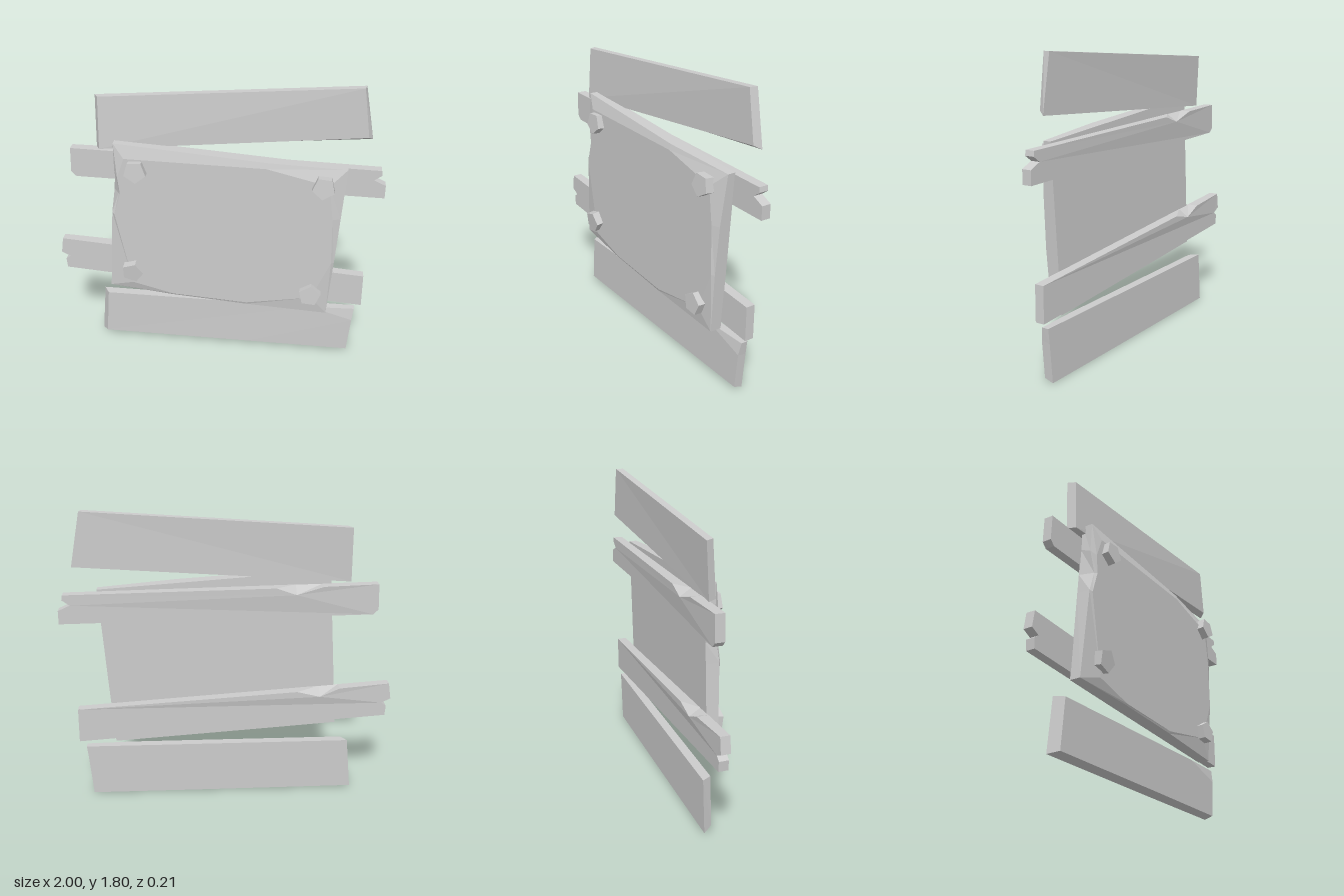
import * as THREE from 'three';

const material = new THREE.MeshStandardMaterial({ color: 0xcccccc, flatShading: true, side: THREE.DoubleSide });

// Solid skinned through matching outlines, ordered back to front.
// Every outline runs counter-clockwise as seen from +z.
function loft(name, rings) {
  const n = rings[0].length;
  const index = [];
  for (let r = 0; r < rings.length - 1; r++) {
    for (let i = 0; i < n; i++) {
      const j = (i + 1) % n;
      const a = r * n + i, b = r * n + j, c = b + n, d = a + n;
      index.push(a, b, c, a, c, d);
    }
  }
  const capFaces = (ring) =>
    THREE.ShapeUtils.triangulateShape(ring.map(([x, y]) => new THREE.Vector2(x, y)), []);
  const top = (rings.length - 1) * n;
  for (const [a, b, c] of capFaces(rings[0])) index.push(a, c, b);
  for (const [a, b, c] of capFaces(rings[rings.length - 1])) index.push(top + a, top + b, top + c);

  const indexed = new THREE.BufferGeometry();
  indexed.setAttribute('position', new THREE.Float32BufferAttribute(rings.flat(2), 3));
  indexed.setIndex(index);
  const geometry = indexed.toNonIndexed();
  geometry.computeVertexNormals();
  const mesh = new THREE.Mesh(geometry, material);
  mesh.name = name;
  return mesh;
}

const atDepth = (outline, z) => outline.map(([x, y]) => [x, y, z]);

export function createModel() {
  const sign = new THREE.Group();
  sign.name = 'woodenSign';

  // Upper plank, its right end turned backward
  sign.add(loft('upperPlank', [
    [[-0.725, 1.365, -0.06], [0.9, 1.485, -0.1], [0.84, 1.805, -0.1], [-0.72, 1.69, -0.075]],
    [[-0.7, 1.37, -0.012], [0.875, 1.507, -0.06], [0.83, 1.805, -0.055], [-0.695, 1.692, -0.03]],
  ]));

  // Lower plank, with a shaved top right corner
  sign.add(loft('lowerPlank', [
    atDepth([[-0.775, 0.012], [0.2, 0.006], [0.85, 0.004], [0.87, 0.24], [0.88, 0.33], [0.4, 0.331], [-0.745, 0.335]], -0.087),
    [[-0.735, 0.03, -0.03], [0.2, 0.026, -0.03], [0.85, 0.022, -0.032], [0.87, 0.25, -0.032],
      [0.88, 0.33, -0.045], [0.6, 0.33, -0.032], [-0.71, 0.333, -0.03]],
  ]));

  // Main panel: straight back, chipped rim, bevelled face
  const back = [[-0.67, 0.44], [-0.27, 0.41], [0.2, 0.376], [0.7, 0.34], [0.728, 0.72], [0.748, 1.02],
    [0.77, 1.33], [0.3, 1.364], [-0.605, 1.43], [-0.615, 1.27], [-0.627, 1.1], [-0.635, 0.98]];
  const rim = [[-0.67, 0.44, 0.03], [-0.27, 0.41, 0.05], [0.2, 0.376, 0.05], [0.7, 0.34, 0.035],
    [0.728, 0.72, 0.042], [0.748, 1.02, 0.035], [0.77, 1.33, 0.01], [0.3, 1.364, 0.045],
    [-0.605, 1.43, 0.03], [-0.607, 1.25, 0.025], [-0.585, 1.11, 0.04], [-0.63, 0.98, 0.045]];
  const face = [[-0.52, 0.485], [-0.26, 0.418], [0.2, 0.39], [0.6, 0.46], [0.71, 0.72], [0.7, 1.02],
    [0.67, 1.24], [0.3, 1.33], [-0.54, 1.345], [-0.585, 1.22], [-0.573, 1.11], [-0.615, 0.97]];
  sign.add(loft('mainPanel', [atDepth(back, -0.037), rim, atDepth(face, 0.055)]));

  // Upper batten: split right end, blunt left end, chip on the back top edge
  const upperFront = [[-0.86, 1.17], [0.995, 1.138], [0.995, 1.22], [0.925, 1.252], [0.97, 1.285],
    [0.965, 1.315], [-0.28, 1.342], [-0.4, 1.345], [-0.56, 1.348], [-0.885, 1.355], [-0.89, 1.2]];
  const upperBack = upperFront.map(([x, y], i) => [x, i === 7 ? y - 0.045 : y, Math.abs(x) > 0.8 ? -0.092 : -0.104]);
  sign.add(loft('upperBatten', [upperBack, atDepth(upperFront, -0.035)]));

  // Lower batten: split left end and a matching chip
  const lowerFront = [[-0.97, 0.508], [0.92, 0.37], [0.918, 0.585], [-0.42, 0.68], [-0.56, 0.69],
    [-0.68, 0.698], [-0.985, 0.72], [-1, 0.62], [-0.945, 0.592], [-0.975, 0.57]];
  const lowerBack = lowerFront.map(([x, y], i) => [x, i === 4 ? y - 0.045 : y, Math.abs(x) > 0.8 ? -0.092 : -0.104]);
  sign.add(loft('lowerBatten', [lowerBack, atDepth(lowerFront, -0.035)]));

  // Five-sided nail heads: x, y, angle of one corner in degrees, tilt
  const nails = [[-0.47, 1.277, -88, -0.08], [0.637, 1.24, -95, -0.1], [-0.515, 0.582, 0, 0.12], [0.593, 0.495, 85, -0.06]];
  for (const [x, y, degrees, tilt] of nails) {
    const geometry = new THREE.CylinderGeometry(0.069, 0.069, 0.06, 5);
    geometry.rotateX(Math.PI / 2);
    geometry.rotateZ(THREE.MathUtils.degToRad(degrees + 90));
    const nail = new THREE.Mesh(geometry, material);
    nail.name = 'nailHead';
    nail.position.set(x, y, 0.067);
    nail.rotation.x = tilt;
    sign.add(nail);
  }
  return sign;
}
